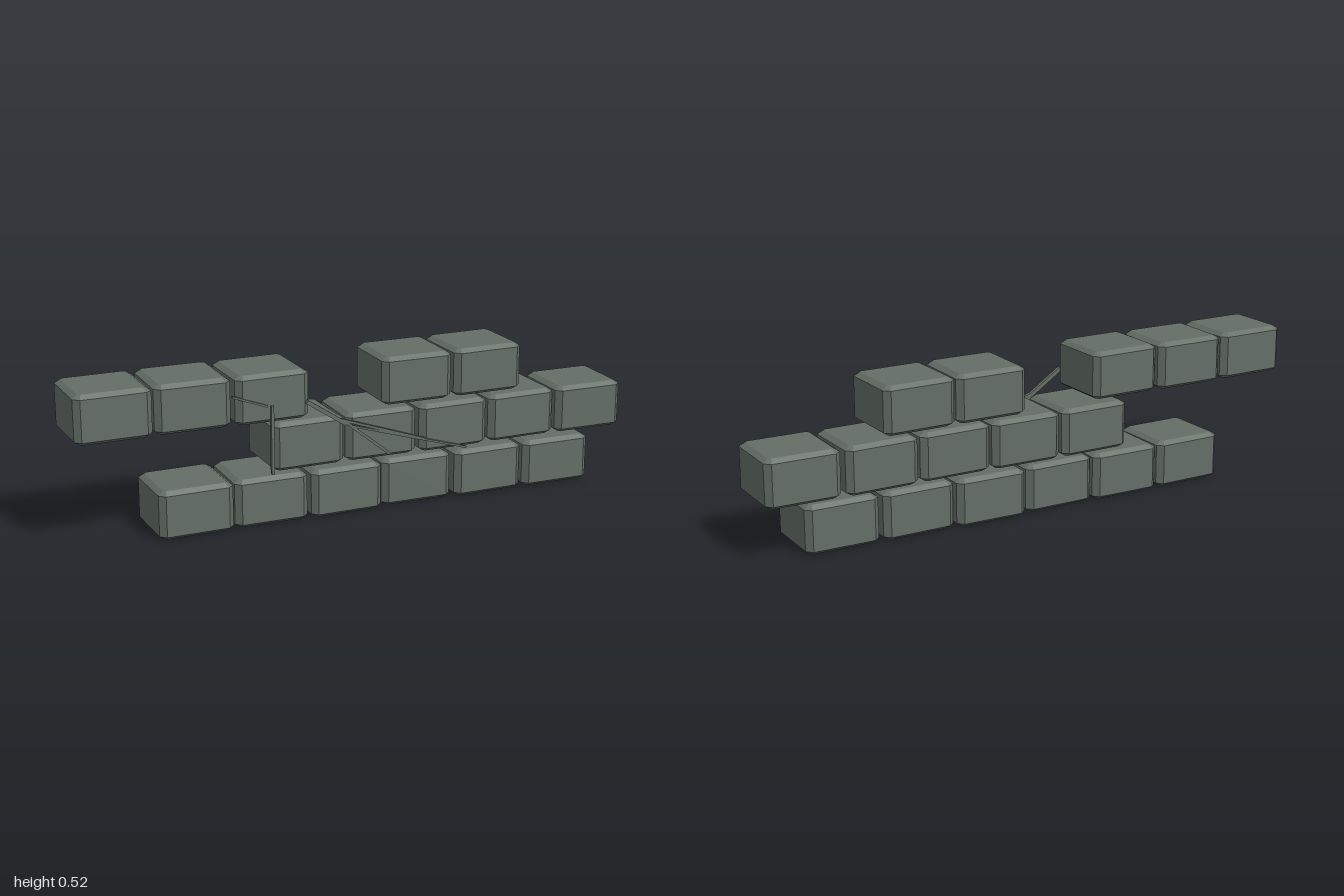
import * as THREE from 'three';

const stone = new THREE.MeshStandardMaterial({ color: 0x636e66 });
stone.name = 'grey green stone';

// Block with clipped vertical corners and bevelled top and bottom rims
function blockGeometry(w, h, d) {
  const x = w / 2, z = d / 2, c = 0.02, rise = 0.013, inset = 0.019;
  const outline = new THREE.Shape([
    [x - c, -z], [x, -z + c], [x, z - c], [x - c, z],
    [-x + c, z], [-x, z - c], [-x, -z + c], [-x + c, -z],
  ].map(([a, b]) => new THREE.Vector2(a, b)));
  const g = new THREE.ExtrudeGeometry(outline, {
    depth: h - 2 * rise, bevelEnabled: true, bevelSegments: 1,
    bevelThickness: rise, bevelSize: inset, bevelOffset: -inset,
  });
  return g.rotateX(-Math.PI / 2).center();
}

// Thin straight twig between two points on the wall's front
function twig(a, b, thickness, z = 0.13) {
  const dx = b[0] - a[0], dy = b[1] - a[1];
  const g = new THREE.BoxGeometry(Math.hypot(dx, dy), thickness, 0.013);
  const m = new THREE.Mesh(g, stone);
  m.position.set((a[0] + b[0]) / 2, (a[1] + b[1]) / 2, z);
  m.rotation.z = Math.atan2(dy, dx);
  m.name = 'twig';
  return m;
}

export function createModel() {
  const model = new THREE.Group();
  model.name = 'brokenWall';
  const geometry = blockGeometry(0.257, 0.166, 0.247);

  // Courses: height of centre, then [x, z, yaw] for each block
  const courses = [
    ['bottomCourse', 0.086, [[-0.602, 0, 0.015], [-0.336, -0.005, -0.01], [-0.07, 0.003, 0.012],
      [0.197, -0.008, -0.015], [0.464, 0.005, 0.01], [0.733, 0.01, -0.012]]],
    ['middleCourse', 0.265, [[-0.204, -0.008, 0.01], [0.063, -0.008, -0.012], [0.33, -0.002, 0.01],
      [0.598, -0.008, 0.012], [0.867, -0.002, -0.015]]],
    ['topCourse', 0.443, [[-0.87, 0.004, 0.012], [-0.603, -0.001, -0.012], [-0.336, 0.006, 0.012],
      [0.197, -0.01, -0.01], [0.464, -0.012, 0.015]]],
  ];
  for (const [name, y, blocks] of courses) {
    const course = new THREE.Group();
    course.name = name;
    blocks.forEach(([x, z, yaw]) => {
      const block = new THREE.Mesh(geometry, stone);
      block.name = 'stoneBlock';
      block.position.set(x, y, z);
      block.rotation.y = yaw;
      course.add(block);
    });
    model.add(course);
  }

  // Dry twigs clinging to the front
  const twigs = new THREE.Group();
  twigs.name = 'twigs';
  twigs.add(
    twig([-0.48, 0.465], [-0.36, 0.42], 0.007),
    twig([-0.342, 0.42], [-0.342, 0.185], 0.01),
    twig([-0.22, 0.418], [-0.08, 0.325], 0.014),
    twig([-0.08, 0.33], [0.08, 0.2], 0.01),
    twig([-0.1, 0.342], [0.21, 0.235], 0.009),
    twig([-0.06, 0.315], [0.37, 0.185], 0.007),
  );
  model.add(twigs);
  return model;
}
